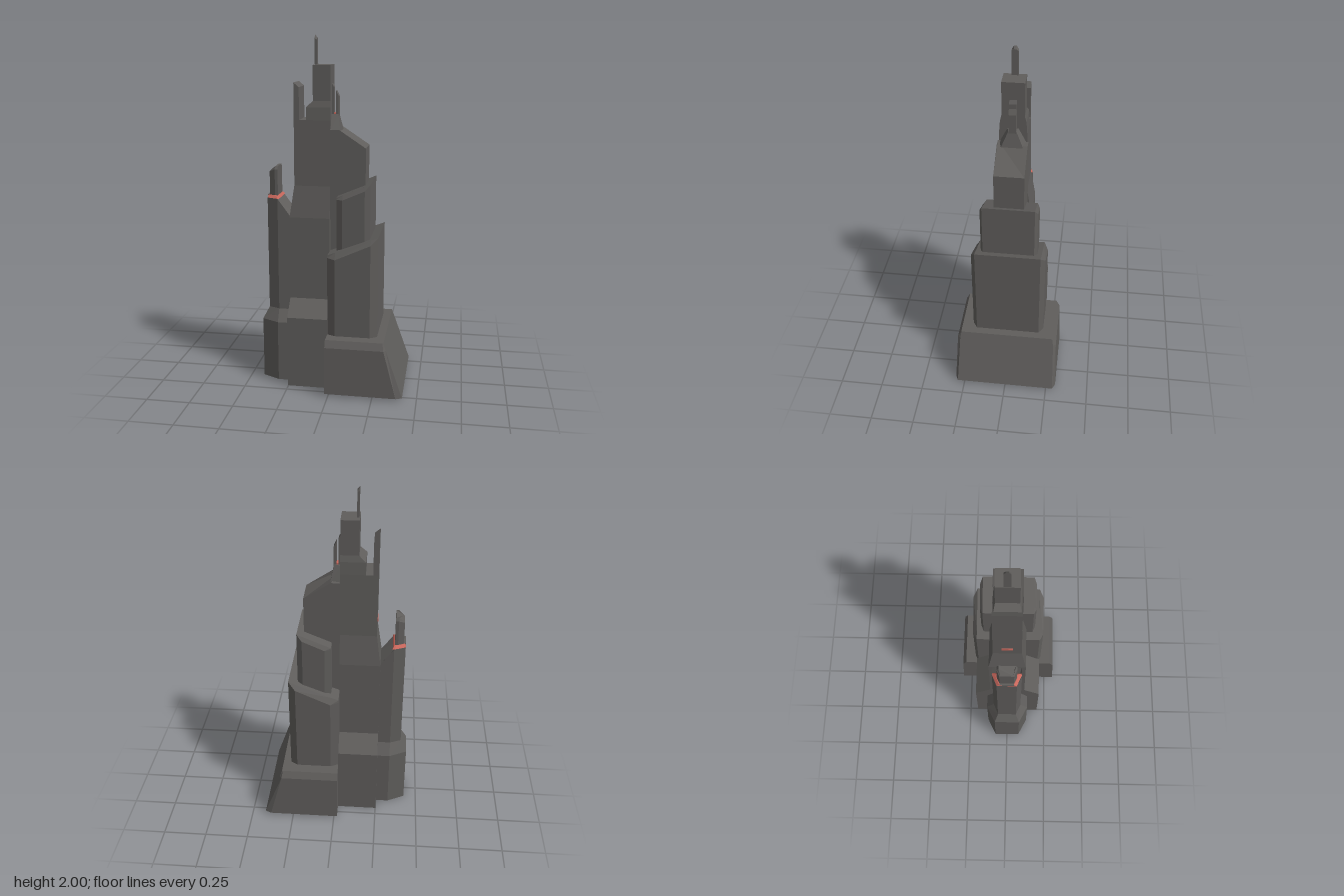
import * as THREE from 'three';

// Stack of rings. Each ring lists [x, y, z] corners from west to east on the
// front half; the back half is mirrored.
function loft(rings, openBottom = false) {
  const full = rings.map((r) => [...r, ...r.slice().reverse().map(([x, y, z]) => [x, y, -z])]);
  const n = full[0].length;
  const pos = [];
  const tri = (a, b, c) => pos.push(...a, ...b, ...c);
  for (let k = 0; k + 1 < full.length; k++) {
    const lo = full[k], hi = full[k + 1];
    for (let i = 0; i < n; i++) {
      const j = (i + 1) % n;
      tri(lo[i], lo[j], hi[j]);
      tri(lo[i], hi[j], hi[i]);
    }
  }
  const top = full[full.length - 1], bottom = full[0];
  for (let i = 1; i + 1 < n; i++) {
    tri(top[0], top[i], top[i + 1]);
    if (!openBottom) tri(bottom[0], bottom[i + 1], bottom[i]);
  }
  const g = new THREE.BufferGeometry();
  g.setAttribute('position', new THREE.Float32BufferAttribute(pos, 3));
  g.computeVertexNormals();
  return g;
}

// Ring at one height from a half plan of [x, z] corners
const level = (y, plan) => plan.map(([x, z]) => [x, y, z]);
// Block with a top that slopes from yw (west) to ye (east)
const block = (x0, x1, y0, yw, ye, z) => loft([
  [[x0, y0, z], [x1, y0, z]],
  [[x0, yw, z], [x1, ye, z]],
]);

export function createModel() {
  const group = new THREE.Group();
  const stone = new THREE.MeshStandardMaterial({ color: 0x5f5d5b, side: THREE.DoubleSide });
  stone.name = 'dark grey stone';
  const glow = new THREE.MeshStandardMaterial({ color: 0xc9675c, side: THREE.DoubleSide });
  glow.name = 'red light';
  const add = (name, geometry, material = stone) => {
    const m = new THREE.Mesh(geometry, material);
    m.name = name;
    group.add(m);
  };

  // Flared plinth, hollow underneath
  add('plinth', loft([
    level(0.015, [[-0.02, 0.306], [0.385, 0.306], [0.42, 0.29]]),
    level(0.29, [[-0.02, 0.296], [0.312, 0.296], [0.324, 0.28]]),
    level(0.33, [[-0.02, 0.275], [0.305, 0.275], [0.31, 0.273]]),
  ], true));

  // Stepped towers with chamfered corners and sloping tops
  const lowerPlan = [[-0.02, 0.19], [0.025, 0.212], [0.225, 0.212], [0.265, 0.186]];
  add('lowerTower', loft([
    level(0.2, lowerPlan),
    [[-0.02, 0.785, 0.19], [0.025, 0.78, 0.212], [0.225, 0.87, 0.212], [0.265, 0.91, 0.186]],
    [[-0.02, 0.8, 0.188], [0.025, 0.817, 0.188], [0.225, 0.895, 0.187], [0.265, 0.91, 0.186]],
  ]));
  const middlePlan = [[0.025, 0.146], [0.06, 0.161], [0.185, 0.161], [0.215, 0.146]];
  add('middleTower', loft([
    level(0.75, middlePlan),
    [[0.025, 1.11, 0.146], [0.06, 1.11, 0.161], [0.185, 1.165, 0.161], [0.215, 1.2, 0.146]],
    [[0.025, 1.12, 0.145], [0.06, 1.135, 0.145], [0.185, 1.187, 0.145], [0.215, 1.2, 0.145]],
  ]));
  add('upperTower', loft([
    level(0.75, [[-0.02, 0.083], [0.03, 0.083], [0.18, 0.083]]),
    [[-0.02, 1.49, 0.083], [0.03, 1.49, 0.083], [0.18, 1.39, 0.083]],
  ]));

  // Tapered cap with two small fins on the upper tower
  add('finBase', loft([
    level(1.48, [[-0.02, 0.075], [0.034, 0.06]]),
    level(1.57, [[-0.02, 0.03], [0.016, 0.022]]),
  ]));
  add('innerFin', block(-0.02, -0.008, 1.56, 1.74, 1.72, 0.02));
  add('outerFin', block(0.004, 0.018, 1.55, 1.7, 1.67, 0.02));
  add('finLight', block(-0.008, 0.004, 1.57, 1.578, 1.578, 0.019), glow);

  // Central shaft rising from a wide footing
  add('shaftFooting', loft([
    level(0, [[-0.252, 0.2], [-0.02, 0.2]]),
    level(0.42, [[-0.252, 0.2], [-0.02, 0.2]]),
    level(0.51, [[-0.252, 0.106], [-0.02, 0.106]]),
  ]));
  add('shaft', loft([
    level(0.45, [[-0.251, 0.106], [-0.02, 0.106]]),
    level(0.99, [[-0.251, 0.106], [-0.02, 0.106]]),
    level(1.17, [[-0.226, 0.08], [-0.02, 0.08]]),
    level(1.54, [[-0.226, 0.076], [-0.02, 0.076]]),
  ]));
  add('shaftFin', block(-0.226, -0.196, 1.54, 1.745, 1.72, 0.075));
  add('shaftHead', loft([
    level(1.54, [[-0.157, 0.076], [-0.02, 0.076]]),
    level(1.61, [[-0.157, 0.071], [-0.02, 0.071]]),
    level(1.645, [[-0.12, 0.062], [-0.02, 0.062]]),
    level(1.84, [[-0.12, 0.062], [-0.02, 0.062]]),
  ]));
  add('antenna', loft([
    level(1.83, [[-0.116, 0.018], [-0.103, 0.018]]),
    [[-0.116, 1.982, 0.018], [-0.103, 1.975, 0.018]],
    [[-0.116, 2, 0.007], [-0.103, 1.985, 0.007]],
  ]));
  add('shaftWindow', block(-0.23, -0.22, 1.235, 1.255, 1.255, 0.03), glow);

  // Side tower with a shoulder and a top that drops toward the shaft
  const wide = [[-0.425, 0.077], [-0.325, 0.128], [-0.25, 0.128]];
  const slim = [[-0.389, 0.056], [-0.325, 0.084], [-0.24, 0.084]];
  add('sideTower', loft([
    level(0, wide),
    level(0.36, wide),
    level(0.43, slim),
    [[-0.389, 1.09, 0.056], [-0.325, 1.09, 0.084], [-0.24, 0.975, 0.084]],
  ]));
  add('sideTowerLight', loft([
    level(1.09, [[-0.389, 0.055], [-0.325, 0.083], [-0.316, 0.08]]),
    level(1.105, [[-0.385, 0.042], [-0.337, 0.062], [-0.325, 0.06]]),
  ]), glow);
  add('sideTowerSill', block(-0.3895, -0.375, 1.1, 1.107, 1.107, 0.04));
  add('sideTowerTurret', loft([
    level(1.09, [[-0.378, 0.04], [-0.345, 0.056], [-0.328, 0.056]]),
    [[-0.378, 1.24, 0.04], [-0.345, 1.255, 0.056], [-0.328, 1.255, 0.056]],
    [[-0.374, 1.245, 0.035], [-0.345, 1.272, 0.045], [-0.328, 1.272, 0.045]],
  ]));

  return group;
}
